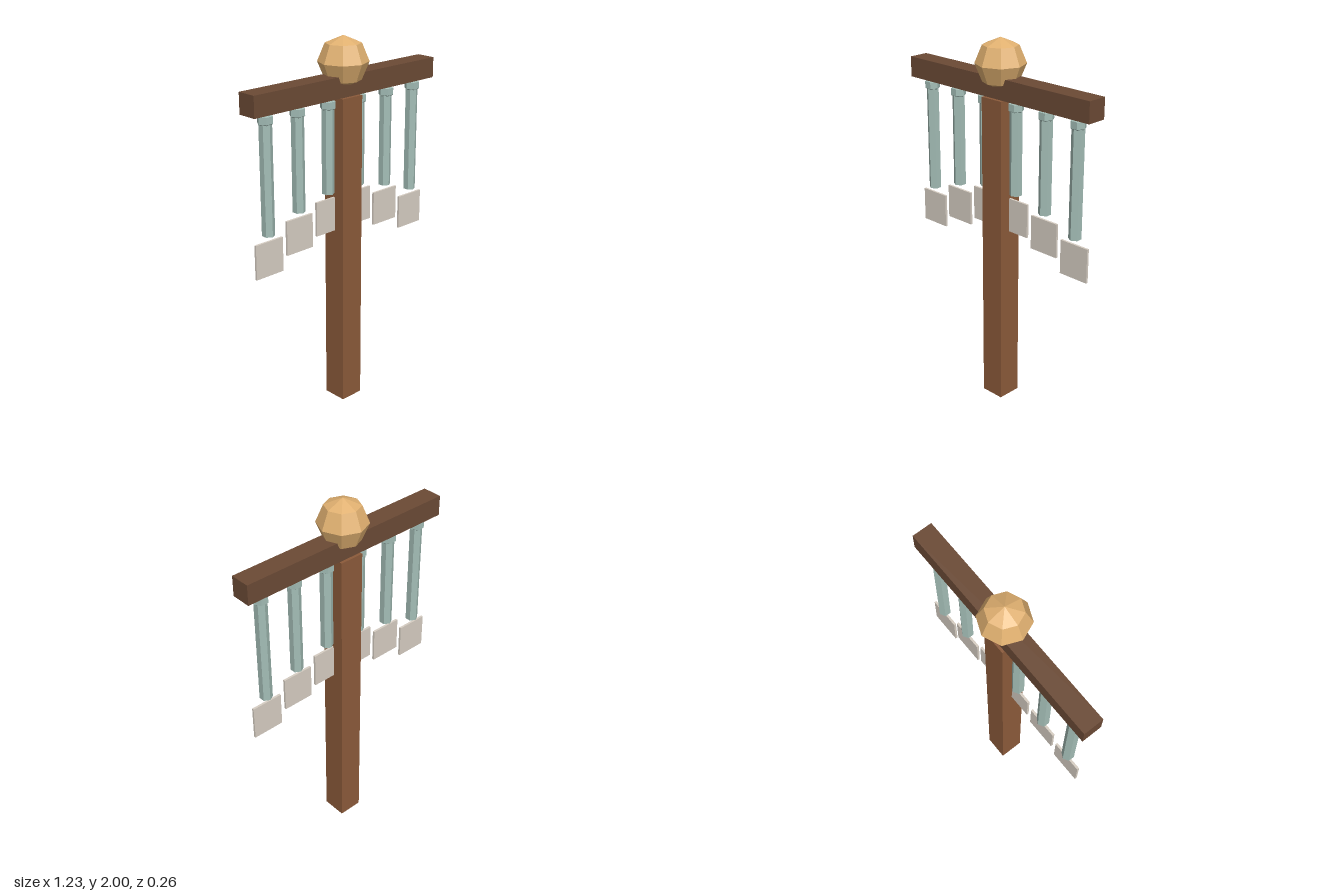
import * as THREE from 'three';

const mat = (color) => new THREE.MeshStandardMaterial({ color, flatShading: true });

function add(parent, name, geometry, material, x, y, z = 0) {
  const mesh = new THREE.Mesh(geometry, material);
  mesh.name = name;
  mesh.position.set(x, y, z);
  parent.add(mesh);
  return mesh;
}

export function createModel() {
  const model = new THREE.Group();
  model.name = 'windChimeStand';

  const postWood = mat(0x8b5a3a);
  const beamWood = mat(0x6b4a35);
  const brass = mat(0xe0b070);
  const metal = mat(0xa3bdb6);
  const plateMat = mat(0xd6cdc2);

  // Post, crossbeam and faceted finial
  add(model, 'post', new THREE.BoxGeometry(0.134, 1.7, 0.134), postWood, 0, 0.85);
  add(model, 'crossbeam', new THREE.BoxGeometry(1.232, 0.108, 0.108), beamWood, 0, 1.756);
  add(model, 'finial', new THREE.SphereGeometry(0.13, 8, 4), brass, 0, 1.87);

  // Bevelled hexagonal collar, turned so its corners lie along the beam
  const collar = new THREE.LatheGeometry(
    [[0.028, -0.026], [0.04, -0.018], [0.04, 0.018], [0.028, 0.026]]
      .map(([r, y]) => new THREE.Vector2(r, y)), 6);
  collar.rotateY(Math.PI / 6);
  const plate = new THREE.BoxGeometry(0.172, 0.183, 0.012);

  // Mirrored chimes, longer towards the ends of the beam
  const tubeTop = 1.7;
  const bottoms = [1.205, 1.157, 1.085];
  for (const side of [-1, 1]) {
    bottoms.forEach((bottom, i) => {
      const chime = new THREE.Group();
      chime.name = `${side > 0 ? 'left' : 'right'}Chime${i + 1}`;
      chime.position.x = side * (0.107 + 0.201 * i);
      const length = tubeTop - bottom;
      add(chime, 'tube', new THREE.CylinderGeometry(0.033, 0.033, length, 6), metal, 0, bottom + length / 2);
      add(chime, 'collar', collar, metal, 0, 1.67);
      add(chime, 'windPlate', plate, plateMat, 0, bottom - 0.122);
      model.add(chime);
    });
  }
  return model;
}
